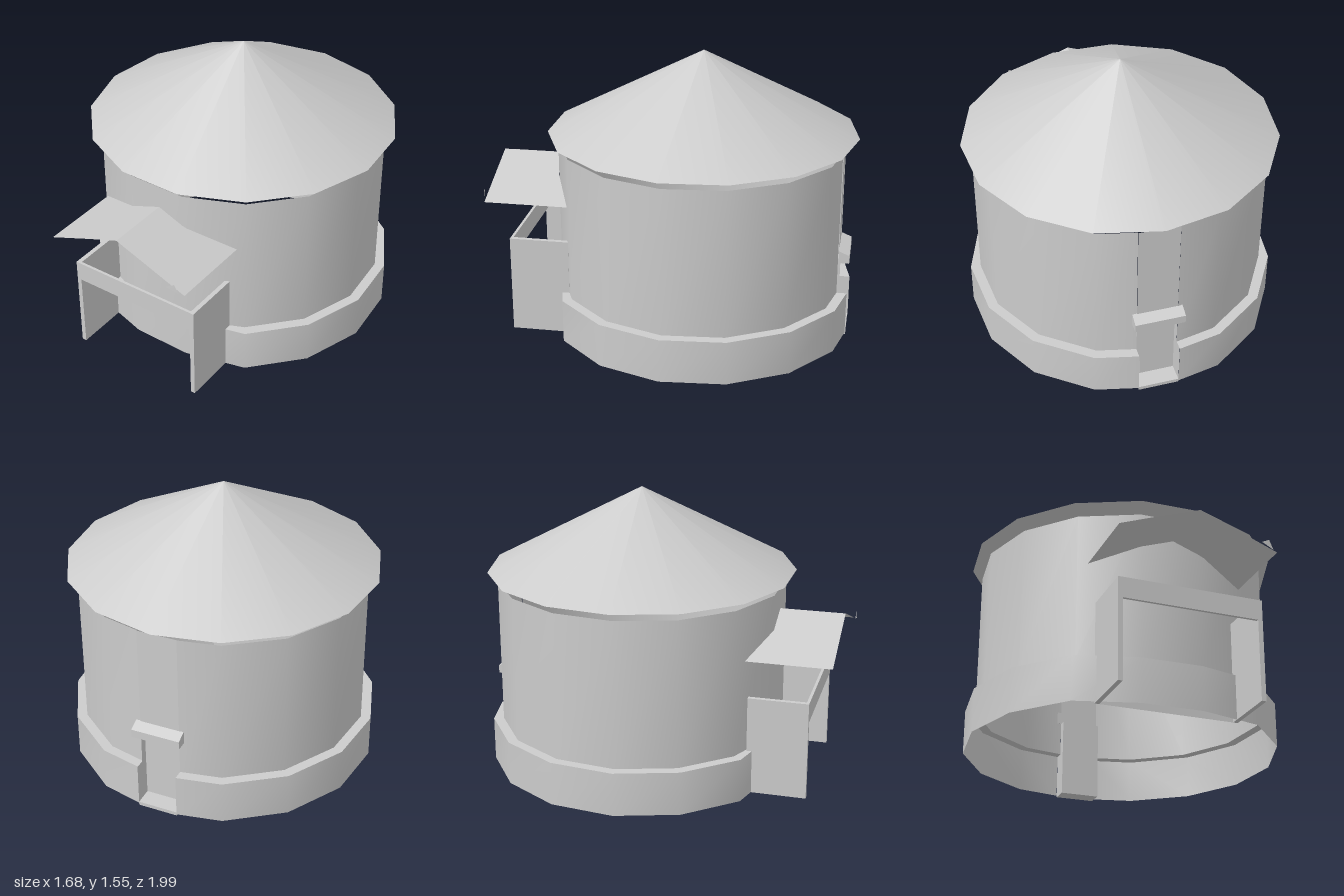
import * as THREE from 'three';

const ZC = -0.15, SIDES = 15, TURN = Math.PI / 180;
const DOOR_L = 0.13, DOOR_R = -0.09;
const material = new THREE.MeshStandardMaterial({ color: 0xcccccc, side: THREE.DoubleSide });

function addMesh(parent, name, geometry) {
  const mesh = new THREE.Mesh(geometry, material);
  mesh.name = name;
  parent.add(mesh);
  return mesh;
}

function addBox(parent, name, x0, x1, y0, y1, z0, z1) {
  const mesh = addMesh(parent, name, new THREE.BoxGeometry(x1 - x0, y1 - y0, z1 - z0));
  mesh.position.set((x0 + x1) / 2, (y0 + y1) / 2, (z0 + z1) / 2);
}

// Surface between two rows of points, lower row first
function strip(lower, upper) {
  const n = lower.length, index = [];
  for (let i = 0; i < n - 1; i++) index.push(i, n + i, i + 1, i + 1, n + i, n + i + 1);
  const geometry = new THREE.BufferGeometry();
  geometry.setAttribute('position', new THREE.Float32BufferAttribute([...lower, ...upper].flat(), 3));
  geometry.setIndex(index);
  geometry.computeVertexNormals();
  return geometry;
}

// Fifteen-sided outline, open at the back doorway; the front side may use its own radius
function ring(r, y, rFront = r) {
  const corner = (k) => {
    const t = TURN + (k * 2 * Math.PI) / SIDES;
    const radius = k === 7 || k === 8 ? rFront : r;
    return [radius * Math.sin(t), y, ZC - radius * Math.cos(t)];
  };
  const cut = (a, b, x) => [x, y, a[2] + ((b[2] - a[2]) * (x - a[0])) / (b[0] - a[0])];
  const points = [];
  for (let k = 1; k < SIDES; k++) points.push(corner(k));
  const back = corner(0);
  return [cut(back, points[0], DOOR_L), ...points, cut(back, points[SIDES - 2], DOOR_R)];
}

export function createModel() {
  const model = new THREE.Group();
  model.name = 'roundHut';
  const WALL = 0.79, BASE = 0.845;

  // Roof, floating just above the wall
  const roof = addMesh(model, 'roof',
    new THREE.ConeGeometry(BASE, 0.45, SIDES, 1, true, Math.PI - TURN, Math.PI * 2));
  roof.position.set(0, 1.33, ZC);

  // Wall, base and the ledge between them
  addMesh(model, 'wall', strip(ring(WALL, 0.25), ring(WALL, 1.055)));
  addMesh(model, 'base', strip(ring(BASE, 0.01, WALL), ring(BASE, 0.25, WALL)));
  addMesh(model, 'baseLedge', strip(ring(BASE, 0.25, WALL), ring(WALL, 0.25)));

  // Back doorway: flat wall above, recessed door below
  const door = new THREE.Group();
  door.name = 'backDoor';
  model.add(door);
  const zWall = -0.918, zBase = -0.972, zDoor = -0.875;
  const line = (y, z) => [[DOOR_R, y, z], [DOOR_L, y, z]];
  addMesh(door, 'wallAboveDoor', strip(line(0.44, zWall), line(1.055, zWall)));
  addMesh(door, 'doorPanel', strip(line(0.01, zDoor), line(0.44, zDoor)));
  addMesh(door, 'doorHead', strip(line(0.44, zDoor), line(0.44, zWall)));
  for (const x of [DOOR_R, DOOR_L]) {
    addMesh(door, 'doorJamb', strip(
      [[x, 0.01, zDoor], [x, 0.01, zWall]], [[x, 0.44, zDoor], [x, 0.44, zWall]]));
    addMesh(door, 'baseEnd', strip(
      [[x, 0.01, zWall], [x, 0.01, zBase]], [[x, 0.25, zWall], [x, 0.25, zBase]]));
  }
  addBox(door, 'doorSill', DOOR_R, DOOR_L, 0, 0.02, zBase, zDoor);

  // Small sloping hood over the back door
  const hoodShape = new THREE.Shape([[0.915, 0.44], [0.975, 0.44], [0.975, 0.485], [0.915, 0.51]]
    .map(([a, b]) => new THREE.Vector2(a, b)));
  const hood = addMesh(door, 'doorHood',
    new THREE.ExtrudeGeometry(hoodShape, { depth: 0.27, bevelEnabled: false }));
  hood.rotation.y = Math.PI / 2;
  hood.position.x = -0.115;

  // Front porch: two side panels, lintel and back panel, open on top
  const porch = new THREE.Group();
  porch.name = 'porch';
  model.add(porch);
  addBox(porch, 'leftPanel', 0.353, 0.378, 0.01, 0.55, 0.53, 0.855);
  addBox(porch, 'rightPanel', -0.39, -0.365, 0.01, 0.55, 0.53, 0.855);
  addBox(porch, 'lintel', -0.365, 0.353, 0.44, 0.55, 0.84, 0.855);
  const back = addMesh(porch, 'backPanel', new THREE.PlaneGeometry(0.768, 0.54));
  back.position.set(-0.006, 0.28, 0.53);

  // Gabled awning sheet above the porch, following the wall at the back
  const profile = [[0.415, 0.77, 0.52], [0.17, 0.865, 0.623], [0, 0.93, 0.623],
    [-0.18, 0.865, 0.623], [-0.43, 0.77, 0.52]];
  const front = profile.map(([x, y]) => [x, y, 0.975]);
  const slopes = [[0, 3, 'awningLeftSlope'], [2, 5, 'awningRightSlope']];
  for (const [a, b, name] of slopes) {
    addMesh(model, name, strip(front.slice(a, b), profile.slice(a, b)));
  }

  // Tiny pointed trim at the awning's front corner
  addMesh(model, 'awningTrim', strip(
    [[0.39, 0.775, 0.985], [0.32, 0.80, 1.0]], [[0.365, 0.825, 0.99], [0.355, 0.82, 0.99]]));

  return model;
}
